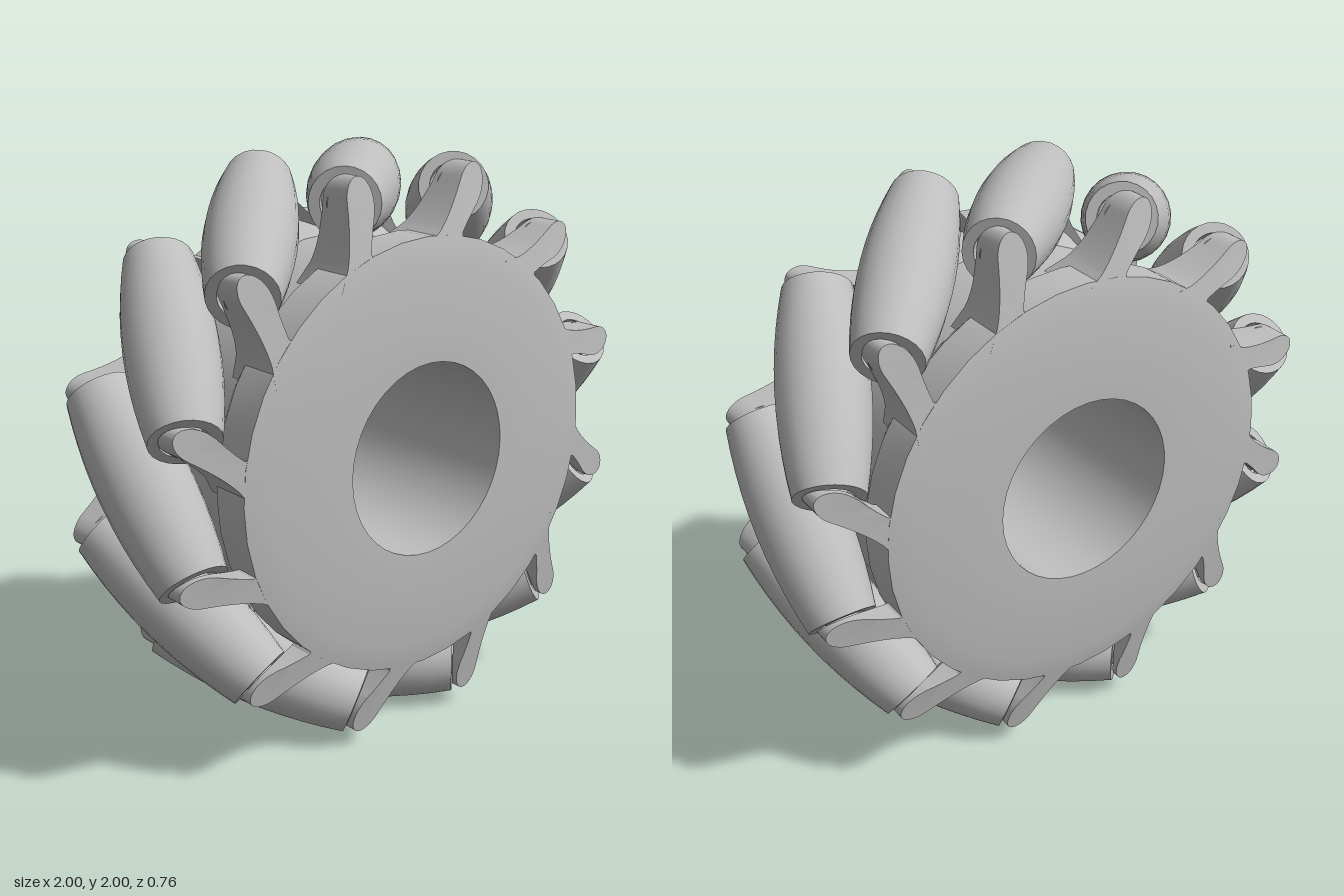
import * as THREE from 'three';
import { toCreasedNormals } from 'three/addons/utils/BufferGeometryUtils.js';

const COUNT = 12;          // rollers round the wheel
const AXIS_R = 0.85;       // distance of roller axis from the wheel centre
const END = 0.25;          // sideways and depth offset of a roller end
const HALF = END * Math.SQRT2;

// front face of the wheel: flat, then sloping back towards the rim
const faceZ = r => 0.38 - Math.max(0, r - 0.65) * 0.22;

function lathe(points, segments) {
  const g = new THREE.LatheGeometry(points.map(p => new THREE.Vector2(...p)), segments);
  g.rotateX(Math.PI / 2);
  return toCreasedNormals(g, 0.5);
}

// barrel whose bulge keeps the wheel outline round, with recessed ends
function rollerGeometry() {
  const pts = [[0.078, -HALF + 0.05], [0.078, -HALF]];
  const n = 10;
  for (let i = 0; i <= n; i++) {
    const s = -HALF + (2 * HALF * i) / n;
    pts.push([1 - Math.sqrt(AXIS_R ** 2 + (s * s) / 2), s]);
  }
  pts.push([0.078, HALF], [0.078, HALF - 0.05], [0.001, HALF - 0.05]);
  pts.unshift([0.001, -HALF + 0.05]);
  return lathe(pts, 24);
}

// curved arm from the hub to a roller end, cut off along the roller's end plane
function armGeometry() {
  const s = new THREE.Shape();
  s.moveTo(-0.36, 0.6);
  s.lineTo(-0.2, 0.6);
  s.lineTo(-0.235, 0.705);
  s.quadraticCurveTo(-0.225, 0.76, -0.205, 0.82);
  s.absellipse(-END, AXIS_R + 0.01, 0.05, 0.08, -0.4, Math.PI, false, 0);
  s.quadraticCurveTo(-0.305, 0.74, -0.328, 0.67);
  const g = new THREE.ExtrudeGeometry(s, { depth: 1, bevelEnabled: false, curveSegments: 10 });
  const p = g.attributes.position;
  for (let i = 0; i < p.count; i++) {
    const x = p.getX(i), y = p.getY(i);
    p.setZ(i, p.getZ(i) > 0.5 ? faceZ(Math.hypot(x, y)) : 2 * END + x + 0.004);
  }
  return toCreasedNormals(g, 0.5);
}

export function createModel() {
  const grey = new THREE.MeshStandardMaterial({ color: 0xbdbdbd });
  grey.name = 'light grey';
  const wheel = new THREE.Group();
  wheel.name = 'rollerWheel';

  const add = (parent, geometry, name) => {
    const m = new THREE.Mesh(geometry, grey);
    m.name = name;
    parent.add(m);
    return m;
  };

  // hub with a bore, two flanges and a slightly sunken waist
  const rim = 0.735, zr = faceZ(rim);
  add(wheel, lathe([
    [0.328, -0.38], [0.65, -0.38], [rim, -zr], [rim, -0.22], [0.675, -0.14],
    [0.675, 0.14], [rim, 0.22], [rim, zr], [0.65, 0.38], [0.328, 0.38], [0.328, -0.38],
  ], 40), 'hub');

  // slanted rollers, each held by a front and a back arm
  const roller = rollerGeometry();
  const pin = new THREE.CylinderGeometry(0.055, 0.055, 2 * HALF + 0.04, 16).rotateX(Math.PI / 2);
  const frontArm = armGeometry();
  const backArm = frontArm.clone().rotateY(Math.PI);
  for (let i = 0; i < COUNT; i++) {
    const unit = new THREE.Group();
    unit.name = 'rollerUnit' + (i + 1);
    unit.rotation.z = (i / COUNT) * Math.PI * 2;
    for (const [g, name] of [[roller, 'roller'], [pin, 'pin']]) {
      const m = add(unit, g, name);
      m.position.y = AXIS_R;
      m.rotation.y = -Math.PI / 4;
    }
    add(unit, frontArm, 'frontArm');
    add(unit, backArm, 'backArm');
    wheel.add(unit);
  }

  wheel.position.y = 1;
  const model = new THREE.Group();
  model.name = 'model';
  model.add(wheel);
  return model;
}
